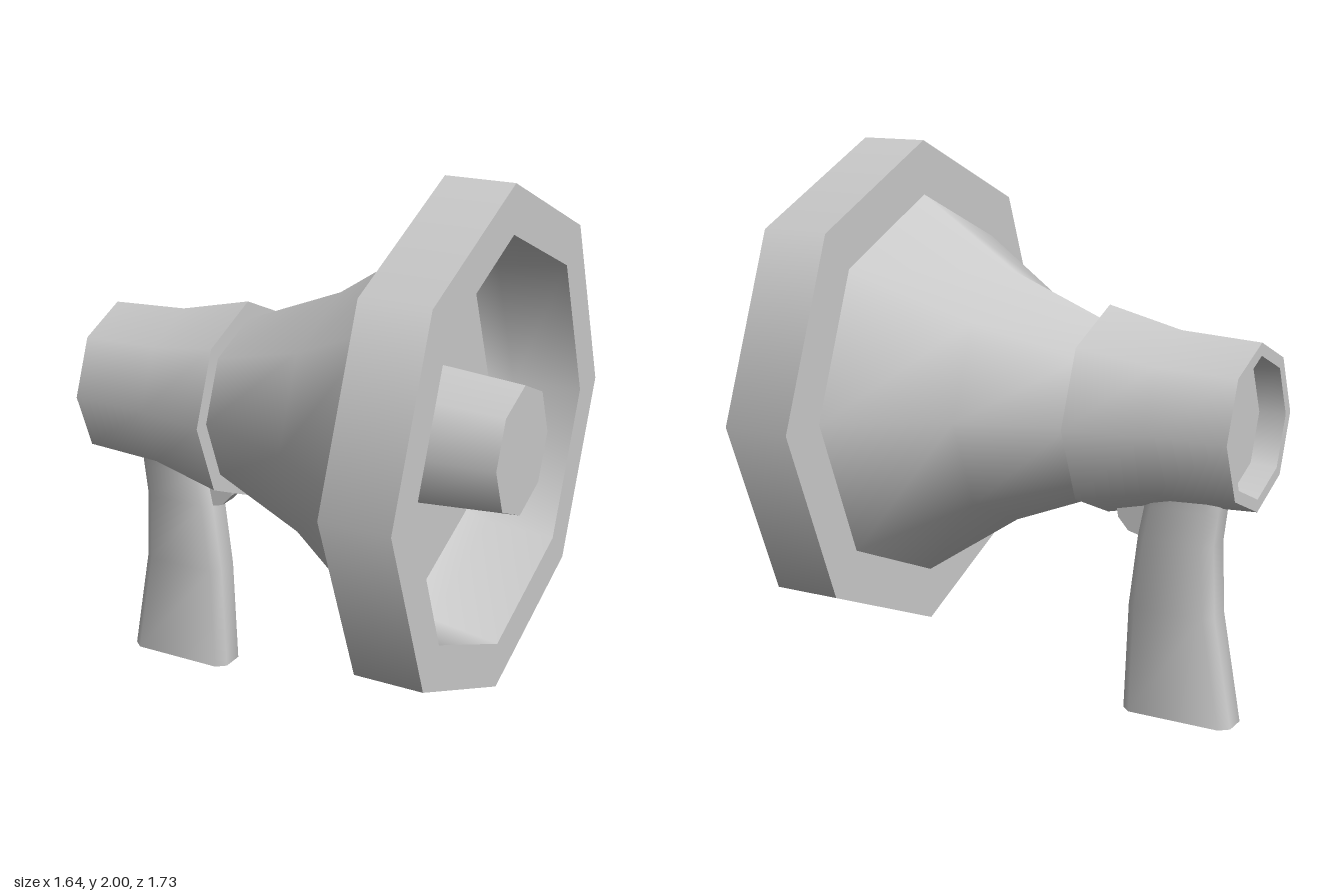
import * as THREE from 'three';
import { mergeGeometries, toCreasedNormals } from 'three/addons/utils/BufferGeometryUtils.js';

const AXIS_Y = 1.09;   // height of the horn's axis
const FLATTEN = 0.95;  // the octagons are slightly narrower in z
const material = new THREE.MeshStandardMaterial({ color: 0xcccccc, side: THREE.DoubleSide });

function addMesh(group, name, geometry) {
  const mesh = new THREE.Mesh(geometry, material);
  mesh.name = name;
  group.add(mesh);
}

// Eight-sided turned part along x; each run is a list of [x, radius],
// smooth within a run and sharp between runs.
function turned(...runs) {
  const lathes = runs.map((run) =>
    new THREE.LatheGeometry(run.map(([x, r]) => new THREE.Vector2(r, x)), 8));
  return mergeGeometries(lathes)
    .rotateZ(-Math.PI / 2)
    .scale(1, 1, FLATTEN)
    .translate(0, AXIS_Y, 0);
}

// Chamfered-rectangle sections [y, xBack, xFront, halfDepth] joined upwards.
function lofted(sections, chamferX, chamferZ) {
  const positions = [], index = [], n = 8;
  for (const [y, x0, x1, d] of sections) {
    const cx = chamferX, cz = chamferZ;
    const outline = [
      [x0 + cx, d], [x1 - cx, d], [x1, d - cz], [x1, cz - d],
      [x1 - cx, -d], [x0 + cx, -d], [x0, cz - d], [x0, d - cz],
    ];
    for (const [x, z] of outline) positions.push(x, y, z);
  }
  for (let s = 0; s < sections.length - 1; s++) {
    for (let i = 0; i < n; i++) {
      const a = s * n + i, b = s * n + (i + 1) % n;
      index.push(a, b, b + n, a, b + n, a + n);
    }
  }
  const top = (sections.length - 1) * n;
  for (let i = 1; i < n - 1; i++) {
    index.push(0, i + 1, i);
    index.push(top, top + i, top + i + 1);
  }
  const geometry = new THREE.BufferGeometry();
  geometry.setAttribute('position', new THREE.Float32BufferAttribute(positions, 3));
  geometry.setIndex(index);
  return toCreasedNormals(geometry, Math.PI / 3);
}

export function createModel() {
  const group = new THREE.Group();
  group.name = 'megaphone';

  // Rear housing with a recessed back and a flared front step
  addMesh(group, 'rearHousing', turned(
    [[-0.73, 0], [-0.73, 0.24]],
    [[-0.73, 0.24], [-0.825, 0.25]],
    [[-0.825, 0.25], [-0.825, 0.295]],
    [[-0.825, 0.295], [-0.53, 0.31], [-0.255, 0.375]],
    [[-0.255, 0.375], [-0.255, 0.29]],
  ));

  // Flaring horn
  addMesh(group, 'horn', turned(
    [[-0.255, 0.31], [0.12, 0.46], [0.505, 0.715]],
  ));

  // Heavy rim around the mouth
  addMesh(group, 'rim', turned(
    [[0.505, 0.71], [0.505, 0.91]],
    [[0.505, 0.91], [0.757, 0.91]],
    [[0.757, 0.91], [0.757, 0.74]],
  ));

  // Inside wall and floor of the mouth
  addMesh(group, 'mouth', turned(
    [[0.757, 0.74], [0.505, 0.705], [0.43, 0.645]],
    [[0.43, 0.645], [0.43, 0]],
  ));

  // Tapered core in the mouth
  addMesh(group, 'core', turned(
    [[0.43, 0.265], [0.82, 0.235]],
    [[0.82, 0.235], [0.82, 0]],
  ));

  // Pistol grip, running up into the housing
  addMesh(group, 'handle', lofted([
    [0, -0.765, -0.345, 0.072],
    [0.4, -0.695, -0.362, 0.072],
    [0.66, -0.685, -0.395, 0.072],
    [0.78, -0.7, -0.42, 0.072],
    [0.84, -0.705, -0.43, 0.072],
  ], 0.035, 0.03));

  // Trigger in front of the grip
  const trigger = new THREE.Shape([
    [-0.45, 0.82], [-0.45, 0.68], [-0.395, 0.66], [-0.355, 0.67],
    [-0.315, 0.715], [-0.3, 0.8],
  ].map(([x, y]) => new THREE.Vector2(x, y)));
  addMesh(group, 'trigger', new THREE.ExtrudeGeometry(trigger, { depth: 0.08, bevelEnabled: false })
    .translate(0, 0, -0.04));

  return group;
}
